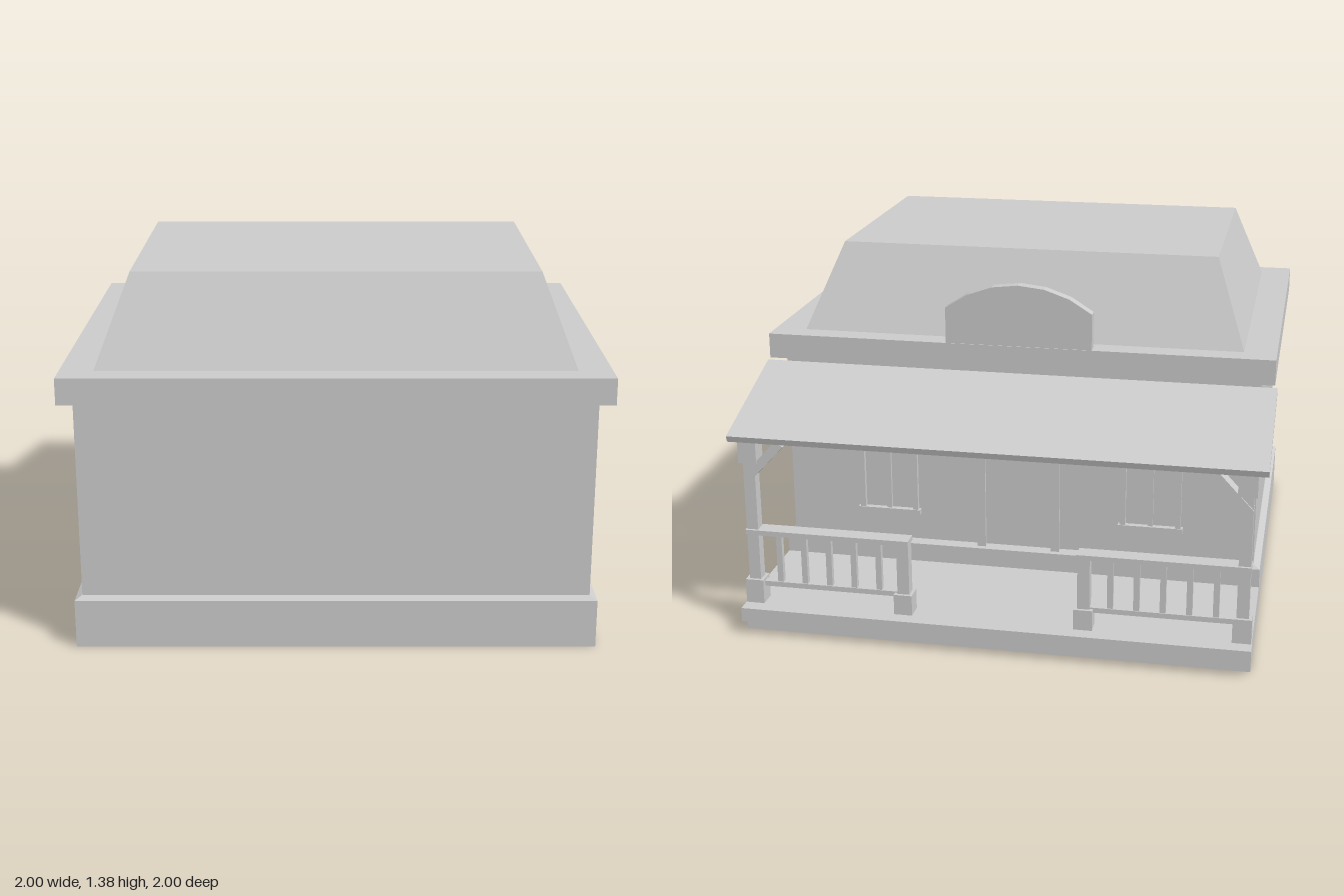
import * as THREE from 'three';

const material = new THREE.MeshStandardMaterial({ color: 0xcccccc, flatShading: true });

function add(parent, name, geometry, x = 0, y = 0, z = 0) {
  const mesh = new THREE.Mesh(geometry, material);
  mesh.name = name;
  mesh.position.set(x, y, z);
  parent.add(mesh);
  return mesh;
}

// Box given by its extents on each axis
function box(parent, name, [x0, x1], [y0, y1], [z0, z1]) {
  return add(parent, name, new THREE.BoxGeometry(x1 - x0, y1 - y0, z1 - z0),
    (x0 + x1) / 2, (y0 + y1) / 2, (z0 + z1) / 2);
}

// Box whose top face is narrowed to the given size
function taperedBox(parent, name, w, d, topW, topD, y0, y1, z) {
  const geometry = new THREE.BoxGeometry(w, y1 - y0, d);
  const p = geometry.attributes.position;
  for (let i = 0; i < p.count; i++) {
    if (p.getY(i) > 0) p.setXYZ(i, p.getX(i) * topW / w, p.getY(i), p.getZ(i) * topD / d);
  }
  geometry.computeVertexNormals();
  return add(parent, name, geometry, 0, (y0 + y1) / 2, z);
}

// Square block centred on x and z
function block(parent, name, x, z, half, y0, y1) {
  return box(parent, name, [x - half, x + half], [y0, y1], [z - half, z + half]);
}

function addWindow(parent, cx) {
  const g = new THREE.Group();
  g.name = 'window';
  parent.add(g);
  const h = 0.12, t = 0.022, y0 = 0.31, y1 = 0.67;
  for (const s of [-1, 1]) {
    const x = cx + s * (h - t / 2);
    box(g, 'windowJamb', [x - t / 2, x + t / 2], [y0 + 0.02, y1 - t], [-0.448, -0.42]);
  }
  box(g, 'windowHead', [cx - h, cx + h], [y1 - t, y1], [-0.448, -0.42]);
  box(g, 'windowSill', [cx - h - 0.008, cx + h + 0.008], [y0, y0 + 0.022], [-0.452, -0.42]);
  box(g, 'windowMullion', [cx - 0.01, cx + 0.01], [y0 + 0.02, y1 - t], [-0.442, -0.42]);
}

function addRailing(parent, side) {
  const g = new THREE.Group();
  g.name = 'porchRailing';
  parent.add(g);
  const z = -0.908, outer = side * 0.928, inner = side * 0.343;
  const span = [Math.min(outer, inner), Math.max(outer, inner)];

  // Full-height corner post with foot and head blocks
  block(g, 'postFoot', outer, z, 0.035, 0.11, 0.205);
  block(g, 'postShaft', outer, z, 0.0225, 0.2, 0.69);
  block(g, 'postHead', outer, z, 0.035, 0.68, 0.775);

  // Diagonal bracket up to the porch roof
  const bracket = add(g, 'roofBracket', new THREE.BoxGeometry(0.035, 0.2, 0.06),
    side * 0.87, 0.69, z);
  bracket.rotation.z = side * 0.75;

  // Short newel post beside the entrance
  block(g, 'newelFoot', inner, z, 0.035, 0.11, 0.19);
  block(g, 'newelShaft', inner, z, 0.023, 0.19, 0.395);

  // Rails and balusters
  box(g, 'topRail', [span[0] - 0.025, span[1] + 0.025], [0.39, 0.41], [z - 0.033, z + 0.033]);
  box(g, 'bottomRail', span, [0.175, 0.195], [z - 0.015, z + 0.015]);
  for (let i = 1; i <= 5; i++) {
    block(g, 'baluster', outer + (inner - outer) * i / 6, z, 0.011, 0.19, 0.395);
  }
}

export function createModel() {
  const model = new THREE.Group();
  model.name = 'house';

  // Base and walls
  box(model, 'base', [-0.965, 0.965], [0, 0.185], [-0.45, 0.97]);
  taperedBox(model, 'baseBevel', 1.93, 1.42, 1.88, 1.38, 0.185, 0.2, 0.26);
  box(model, 'walls', [-0.938, 0.938], [0.19, 0.955], [-0.428, 0.95]);

  // Cornice and hipped, flat-topped roof
  box(model, 'cornice', [-0.99, 0.99], [0.952, 1.05], [-0.478, 1]);
  taperedBox(model, 'roof', 1.732, 1.295, 1.49, 0.96, 1.05, 1.375, 0.258);

  // Arched board standing on the cornice
  const arch = new THREE.Shape();
  arch.moveTo(-0.285, 1.05);
  arch.lineTo(0.285, 1.05);
  const radius = 0.456, sweep = Math.asin(0.285 / radius), steps = 6;
  for (let i = 0; i <= steps; i++) {
    const a = sweep * (1 - 2 * i / steps);
    arch.lineTo(radius * Math.sin(a), 1.29 - radius + radius * Math.cos(a));
  }
  add(model, 'archedBoard',
    new THREE.ExtrudeGeometry(arch, { depth: 0.045, bevelEnabled: false }), -0.01, 0, -0.475);

  // Porch floor, edge trim and sloping roof
  box(model, 'porchFloor', [-0.965, 0.965], [0, 0.11], [-0.947, -0.44]);
  box(model, 'porchFloorTrim', [-0.967, 0.965], [0.055, 0.11], [-1, -0.94]);
  const porchRoof = add(model, 'porchRoof', new THREE.BoxGeometry(2, 0.025, 0.504),
    0, 0.853, -0.712);
  porchRoof.rotation.x = -0.312;
  for (const side of [-1, 1]) addRailing(model, side);

  // Door surround and windows on the porch wall
  for (const x of [-0.15, 0.15]) {
    box(model, 'doorJamb', [x - 0.017, x + 0.017], [0.19, 0.67], [-0.441, -0.42]);
  }
  box(model, 'doorHead', [-0.167, 0.167], [0.64, 0.67], [-0.441, -0.42]);
  for (const side of [-1, 1]) addWindow(model, side * 0.53);

  return model;
}
